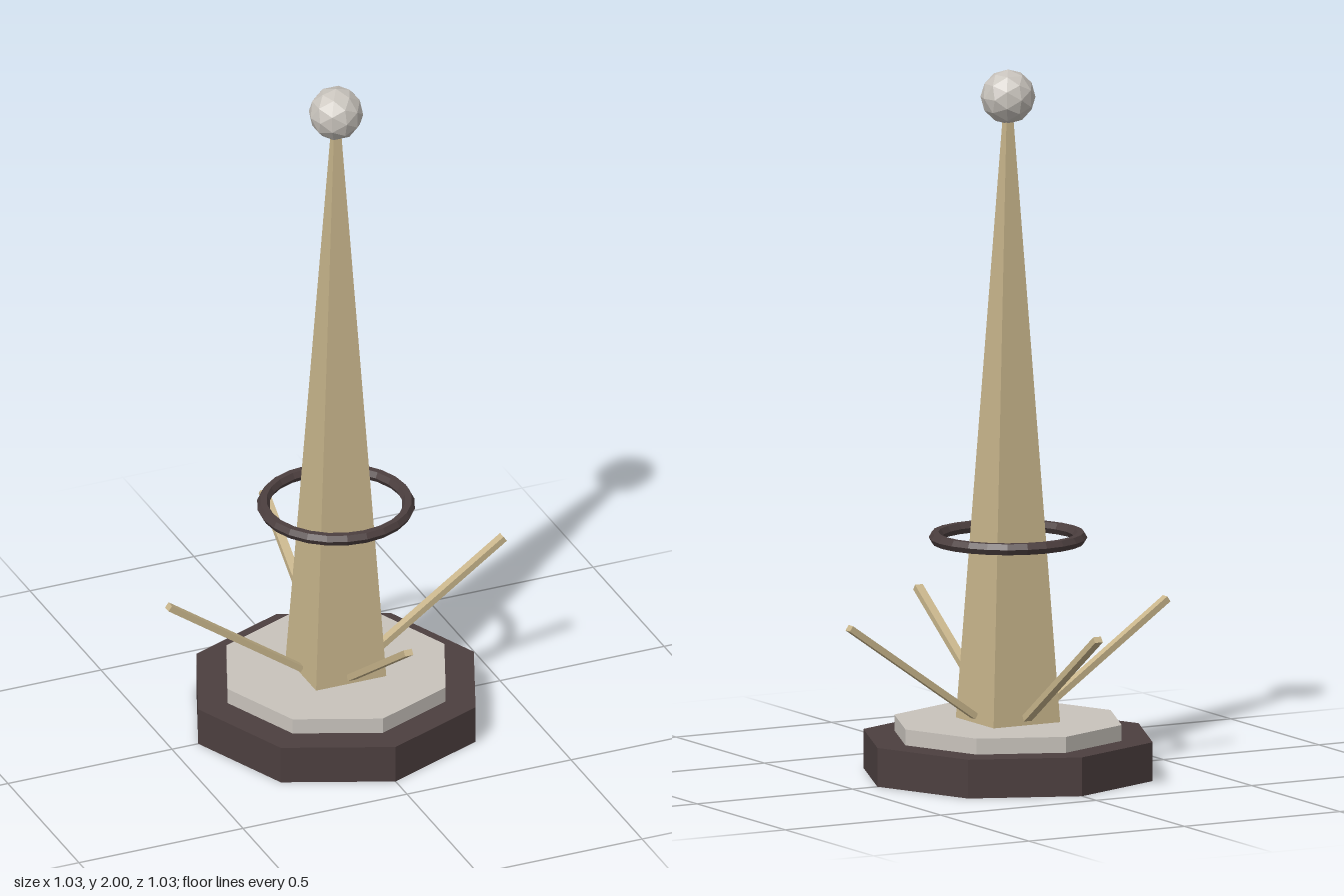
import * as THREE from 'three';

export function createModel() {
  const model = new THREE.Group();
  const material = (name, color) => {
    const m = new THREE.MeshStandardMaterial({ color, flatShading: true });
    m.name = name;
    return m;
  };
  const darkStone = material('darkStone', 0x4c3f3f);
  const paleStone = material('paleStone', 0xc8c3bc);
  const sand = material('sand', 0xc9b68c);

  const add = (name, geometry, mat, y, parent = model) => {
    const mesh = new THREE.Mesh(geometry, mat);
    mesh.name = name;
    mesh.position.y = y;
    parent.add(mesh);
    return mesh;
  };

  // Two octagonal steps
  add('base', new THREE.CylinderGeometry(0.42, 0.42, 0.11, 8), darkStone, 0.055);
  add('plinth', new THREE.CylinderGeometry(0.33, 0.33, 0.045, 8), paleStone, 0.1325);

  // Square tapering spire, faces square to the axes
  const spire = new THREE.CylinderGeometry(0.009 * Math.SQRT2, 0.107 * Math.SQRT2, 1.745, 4);
  spire.rotateY(Math.PI / 4);
  add('spire', spire, sand, 0.155 + 1.745 / 2);

  // Faceted ball on the tip
  add('finial', new THREE.IcosahedronGeometry(0.077, 1), paleStone, 1.923);

  // Floating ring with a six-sided section
  const ring = new THREE.TorusGeometry(0.204, 0.018, 6, 24);
  ring.rotateX(Math.PI / 2);
  add('ring', ring, darkStone, 0.673);

  // Four slanted struts around the spire
  const strut = new THREE.BoxGeometry(0.492, 0.018, 0.025);
  strut.rotateZ(THREE.MathUtils.degToRad(35));
  strut.translate(0.309, 0, 0);
  for (let i = 0; i < 4; i++) {
    add('strut' + (i + 1), strut, sand, 0.316).rotation.y = (i * Math.PI) / 2;
  }

  return model;
}
